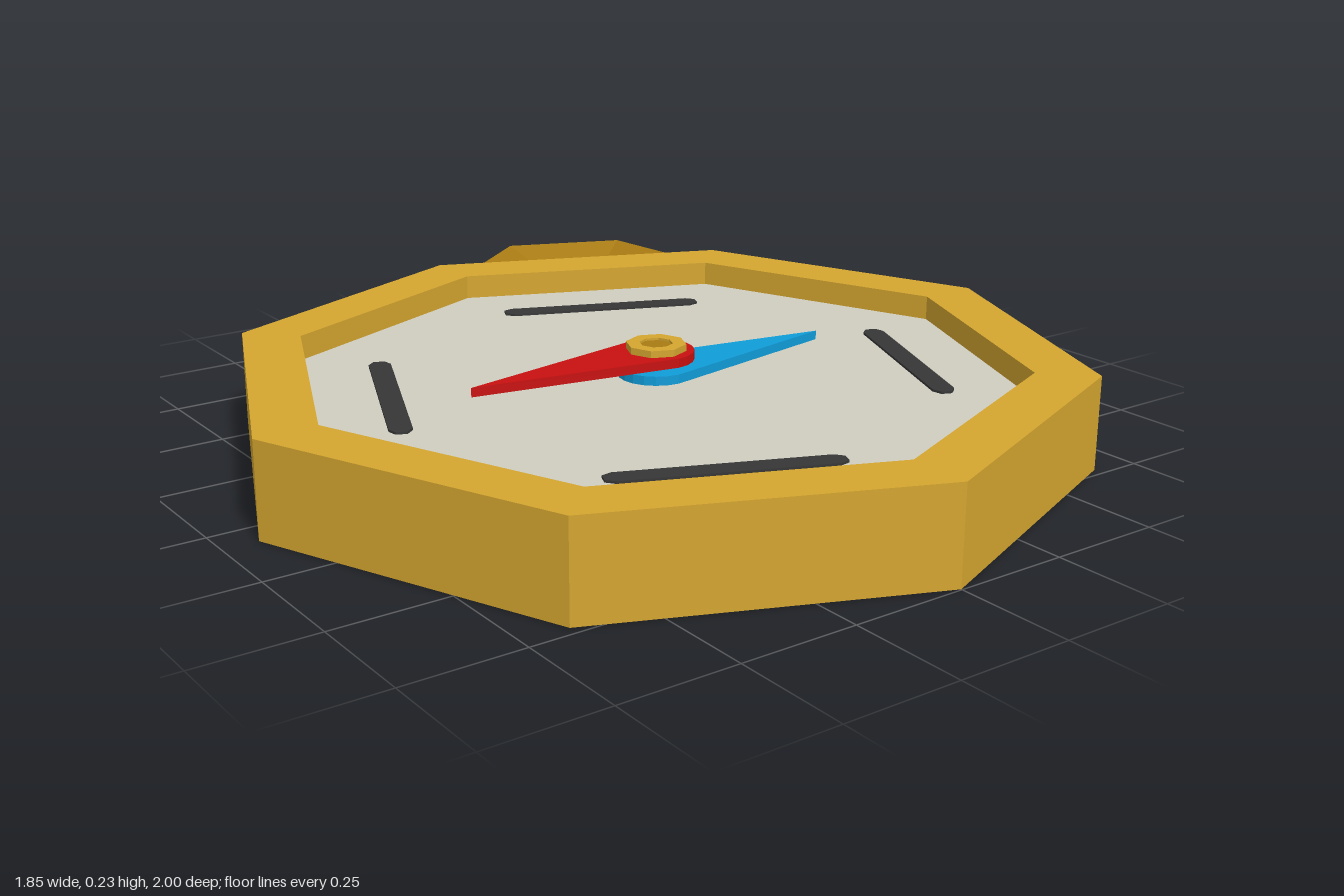
import * as THREE from 'three';

const mat = (name, color) => Object.assign(new THREE.MeshStandardMaterial({ color }), { name });

// Faceted normals for low-poly parts
function facet(geometry) {
  const g = geometry.index ? geometry.toNonIndexed() : geometry;
  g.computeVertexNormals();
  return g;
}

const lathe = (points, sides) =>
  new THREE.LatheGeometry(points.map(([x, y]) => new THREE.Vector2(x, y)), sides);

// Flat outline (x, z) extruded upwards from y = 0
function slab(points, height) {
  const shape = new THREE.Shape(points.map(([x, z]) => new THREE.Vector2(x, -z)));
  return new THREE.ExtrudeGeometry(shape, { depth: height, bevelEnabled: false }).rotateX(-Math.PI / 2);
}

// Teardrop: a long point at -x and a round hub at the origin
function needleOutline(length, r) {
  const points = [[-length, 0]];
  for (let i = 0; i <= 10; i++) {
    const a = Math.PI / 2 - (i / 10) * Math.PI;
    points.push([Math.cos(a) * r, Math.sin(a) * r]);
  }
  return points;
}

export function createModel() {
  const gold = mat('gold', 0xd4a52f);
  const darkGold = mat('dark gold', 0xa87a12);
  const dialGrey = mat('dial grey', 0xcfccc0);
  const charcoal = mat('charcoal', 0x363636);
  const red = mat('red', 0xc81010);
  const blue = mat('blue', 0x109cd8);

  const model = new THREE.Group();
  model.name = 'compass';
  const body = new THREE.Group();
  body.name = 'compassBody';
  body.position.z = 0.073;
  model.add(body);

  const add = (name, geometry, material, y = 0) => {
    const mesh = new THREE.Mesh(facet(geometry), material);
    mesh.name = name;
    mesh.position.y = y;
    body.add(mesh);
    return mesh;
  };

  // Octagonal case with a raised rim
  const dialY = 0.15;
  add('case', lathe([[0, 0], [0.925, 0], [0.925, 0.205], [0.79, 0.205], [0.79, dialY - 0.005]], 8), gold);
  add('dial', new THREE.CircleGeometry(0.79, 8).rotateX(-Math.PI / 2), dialGrey, dialY);

  // Four bars with clipped ends, parallel to alternate rim sides
  const w = 0.024, l = 0.235, c = 0.02;
  const bar = [[-w, -l + c], [-w, l - c], [-w / 2, l], [w / 2, l], [w, l - c], [w, -l + c], [w / 2, -l], [-w / 2, -l]];
  for (let i = 0; i < 4; i++) {
    const marker = add('dialMarker', slab(bar, 0.005), charcoal, dialY);
    const a = Math.PI / 8 + (i * Math.PI) / 2;
    marker.position.x = Math.cos(a) * 0.567;
    marker.position.z = Math.sin(a) * 0.567;
    marker.rotation.y = -a;
  }

  // Two stacked needle halves on a pin
  add('redNeedle', slab(needleOutline(0.455, 0.082), 0.02), red, 0.195);
  add('blueNeedle', slab(needleOutline(0.447, 0.082), 0.02), blue, 0.16).rotation.y = Math.PI;
  add('needlePin', new THREE.CylinderGeometry(0.037, 0.037, 0.075, 8), darkGold, dialY + 0.0375);
  add('pinCollar', lathe([[0.065, 0.213], [0.065, 0.23], [0.036, 0.23], [0.036, 0.213]], 8), gold);

  // Angular carrying loop sunk into the rim
  const loop = add('carryingLoop',
    new THREE.TorusGeometry(0.266, 0.07, 5, 3, Math.PI).rotateZ(-Math.PI * 7 / 8).rotateX(Math.PI / 2),
    darkGold, 0.13);
  loop.position.x = 0.306;
  loop.position.z = -0.739;

  return model;
}
